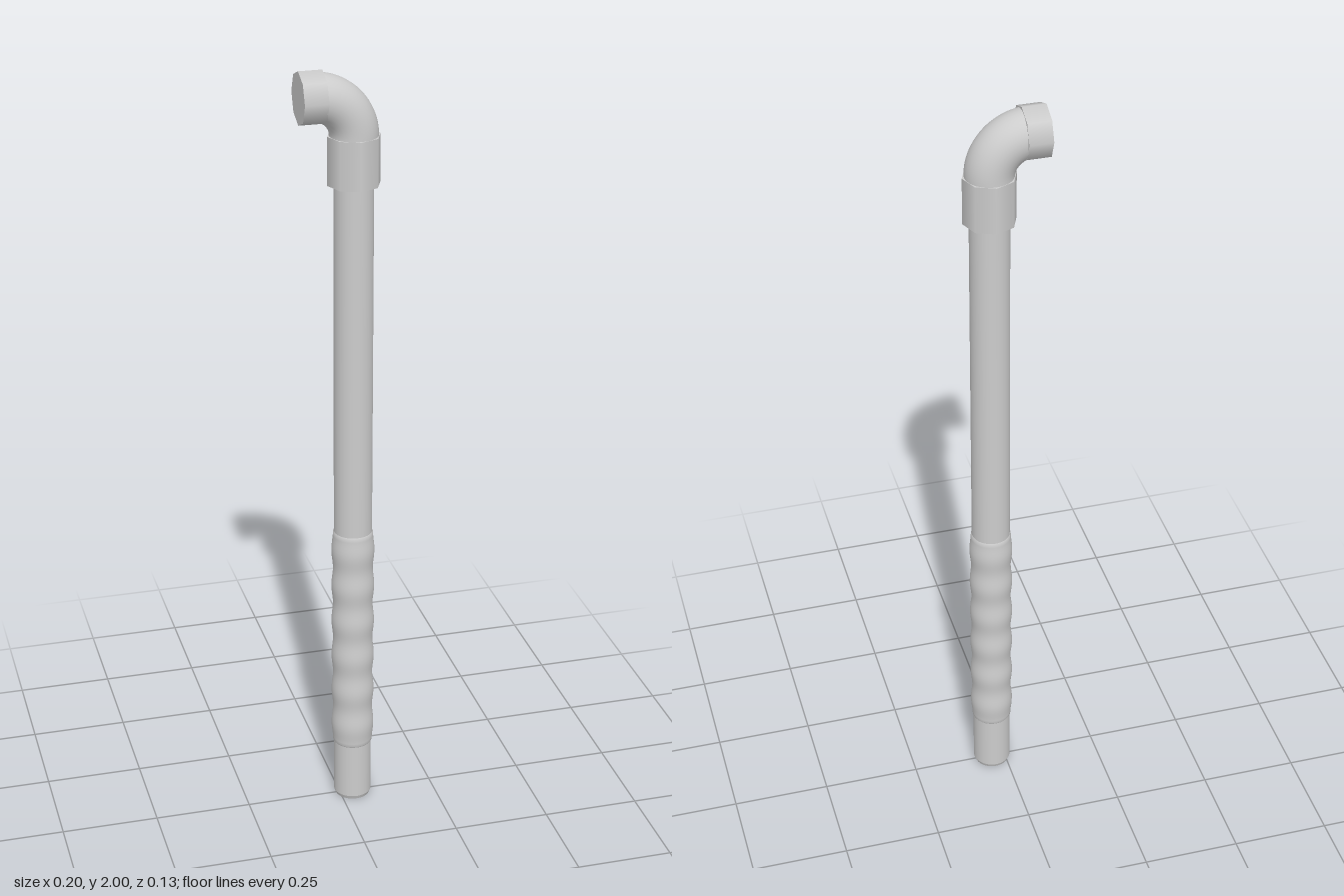
import * as THREE from 'three';

const AXIS = 0.035;      // x of the upright pipe
const OUTLET_Y = 1.934;  // height of the sideways outlet

export function createModel() {
  const model = new THREE.Group();
  const grey = new THREE.MeshStandardMaterial({ color: 0xcccccc });
  grey.name = 'plain grey';

  function add(name, geometry, x, y) {
    const mesh = new THREE.Mesh(geometry, grey);
    mesh.name = name;
    mesh.position.set(x, y, 0);
    model.add(mesh);
    return mesh;
  }

  // Long pipe with a slightly bevelled foot
  add('pipe', new THREE.CylinderGeometry(0.049, 0.049, 1.73, 32), AXIS, 0.875);
  add('pipeFoot', new THREE.CylinderGeometry(0.049, 0.045, 0.01, 32), AXIS, 0.005);

  // Grip sleeve with six soft swells
  const low = 0.16, high = 0.785, steps = 72, swells = 6;
  const profile = [new THREE.Vector2(0.048, low)];
  for (let i = 0; i <= steps; i++) {
    const t = i / steps;
    const r = 0.0535 - 0.002 * Math.cos(t * swells * Math.PI * 2);
    profile.push(new THREE.Vector2(r, low + 0.005 + t * (high - low - 0.01)));
  }
  profile.push(new THREE.Vector2(0.048, high));
  add('grip', new THREE.LatheGeometry(profile, 32), AXIS, 0);

  // Eight-sided collars at both ends of the elbow
  add('lowerCollar', new THREE.CylinderGeometry(0.066, 0.066, 0.122, 8), AXIS, 1.774);
  const outlet = add('outletCollar', new THREE.CylinderGeometry(0.066, 0.066, 0.059, 8), -0.0715, OUTLET_Y);
  outlet.rotation.z = Math.PI / 2;

  // Quarter-turn elbow
  const bend = 0.1;
  add('elbow', new THREE.TorusGeometry(bend, 0.06, 32, 20, Math.PI / 2), AXIS - bend, OUTLET_Y - bend);

  return model;
}
